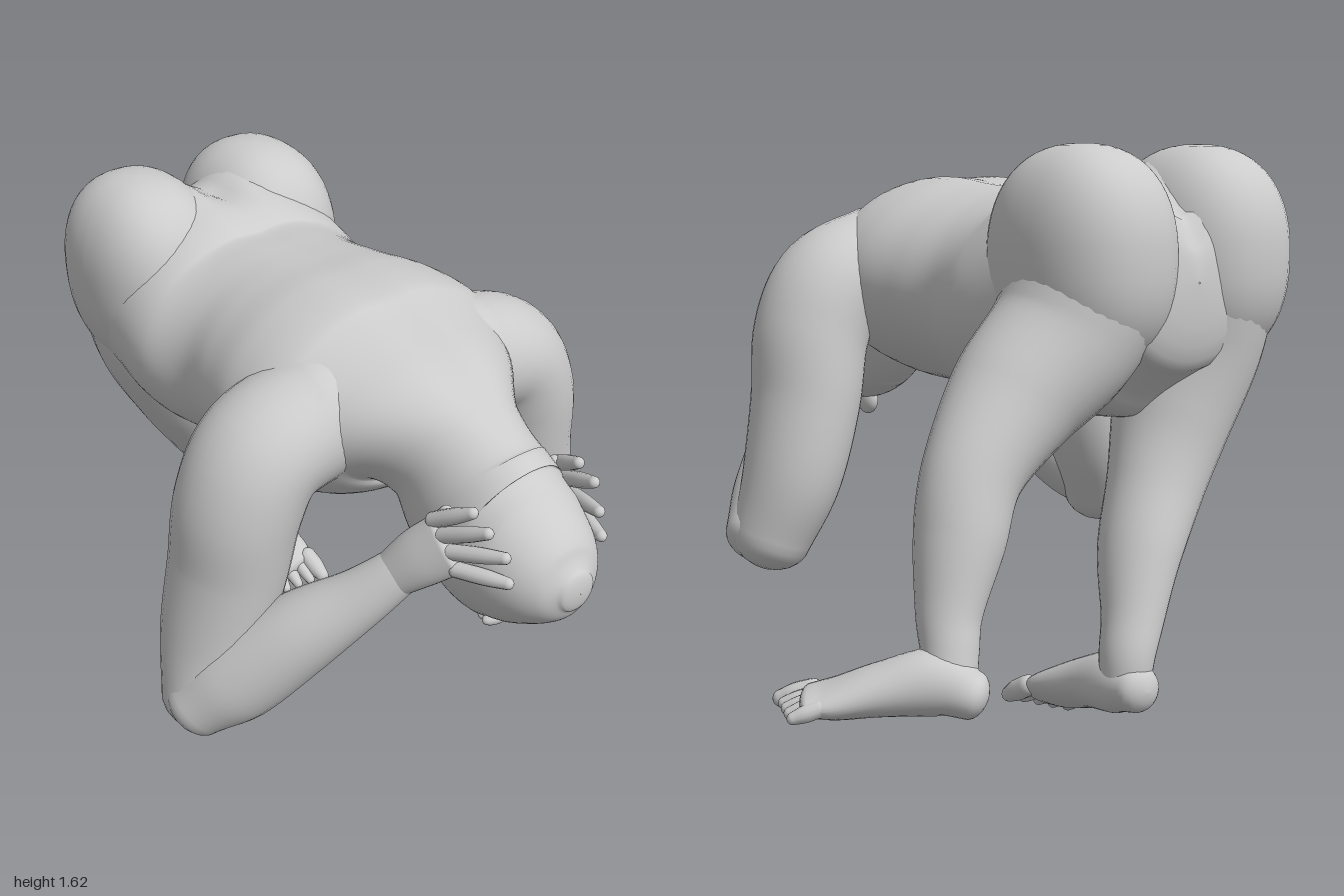
import * as THREE from 'three';

const MID = -0.17; // x of the body's mirror plane
const skin = new THREE.MeshStandardMaterial({ color: 0xcccccc, side: THREE.DoubleSide });
const V = (x, y, z) => new THREE.Vector3(x, y, z);
const spline = points => new THREE.CatmullRomCurve3(points, false, 'catmullrom', 0.5);

// Smooth skin over elliptical stations [x, y, z, halfWidth, halfHeight]; width follows ref
function loft(name, stations, ref, cap = 0.7, steps = 6, sides = 32) {
  const path = spline(stations.map(s => V(s[0], s[1], s[2])));
  const sizes = spline(stations.map(s => V(s[3], s[4], 0)));
  const n = (stations.length - 1) * steps, rings = [];
  const ring = (u, push, scale) => {
    const t = path.getTangent(u), r = sizes.getPoint(u);
    const c = path.getPoint(u).addScaledVector(t, push * Math.min(r.x, r.y) * cap);
    rings.push({ c, t, rx: r.x * scale, ry: r.y * scale });
  };
  // Rounded ends
  const CAP = 6;
  for (let k = 0; k < CAP; k++) {
    const a = (k / CAP) * Math.PI / 2;
    ring(0, -Math.cos(a), Math.max(Math.sin(a), 0.01));
  }
  for (let i = 0; i <= n; i++) ring(i / n, 0, 1);
  for (let k = CAP - 1; k >= 0; k--) {
    const a = (k / CAP) * Math.PI / 2;
    ring(1, Math.cos(a), Math.max(Math.sin(a), 0.01));
  }
  const pos = [], index = [];
  rings.forEach(({ c, t, rx, ry }, i) => {
    const side = ref.clone().addScaledVector(t, -ref.dot(t)).normalize();
    const up = t.clone().cross(side);
    for (let j = 0; j < sides; j++) {
      const a = (j / sides) * Math.PI * 2;
      const p = c.clone().addScaledVector(side, rx * Math.cos(a)).addScaledVector(up, ry * Math.sin(a));
      pos.push(p.x, p.y, p.z);
      if (i === rings.length - 1) continue;
      const A = i * sides + j, B = i * sides + (j + 1) % sides;
      index.push(A, B, A + sides, B, B + sides, A + sides);
    }
  });
  const geo = new THREE.BufferGeometry();
  geo.setAttribute('position', new THREE.Float32BufferAttribute(pos, 3));
  geo.setIndex(index);
  geo.computeVertexNormals();
  const mesh = new THREE.Mesh(geo, skin);
  mesh.name = name;
  return mesh;
}

// Ellipsoid; power below 1 makes it fuller and squarer
function blob(name, p, r, power = 1) {
  const geo = new THREE.SphereGeometry(1, 40, 28);
  const a = geo.attributes.position;
  const f = v => Math.sign(v) * Math.abs(v) ** power;
  for (let i = 0; i < a.count; i++) a.setXYZ(i, f(a.getX(i)) * r[0], f(a.getY(i)) * r[1], f(a.getZ(i)) * r[2]);
  geo.computeVertexNormals();
  const mesh = new THREE.Mesh(geo, skin);
  mesh.position.set(...p);
  mesh.name = name;
  return mesh;
}

// Finger or toe tapering between two points
function digit(name, a, b, r) {
  const m = a.clone().lerp(b, 0.55);
  return loft(name, [[...a, r, r], [...m, r, r], [...b, r * 0.75, r * 0.75]], V(0.3, 0.2, 1), 1, 4, 12);
}

// Head, neck and torso in one skin from crown to pelvis: z, y, half width, half height
function body() {
  const mesh = loft('headAndTorso', [
    [0.985, 0.99, 0.06, 0.06], [0.95, 0.99, 0.113, 0.115], [0.89, 0.995, 0.157, 0.163],
    [0.8, 1.005, 0.187, 0.217], [0.7, 1.025, 0.192, 0.26], [0.6, 1.09, 0.185, 0.26],
    [0.5, 1.18, 0.195, 0.215], [0.38, 1.24, 0.31, 0.215], [0.22, 1.235, 0.42, 0.29],
    [0.06, 1.22, 0.44, 0.315], [-0.1, 1.205, 0.41, 0.312], [-0.25, 1.19, 0.385, 0.315],
    [-0.42, 1.18, 0.42, 0.322], [-0.58, 1.21, 0.41, 0.35], [-0.74, 1.24, 0.38, 0.35],
    [-0.88, 1.25, 0.26, 0.24]].map(([z, y, w, h]) => [MID, y, z, w, h]), V(1, 0, 0), 0.3, 8, 64);
  // Groove along the spine, deepening between the buttocks
  const a = mesh.geometry.attributes.position, ease = THREE.MathUtils.smoothstep;
  for (let i = 0; i < a.count; i++) {
    const d = (a.getX(i) - MID) / 0.06, y = a.getY(i);
    const depth = 0.015 + 0.05 * ease(-a.getZ(i), 0.48, 0.65);
    a.setY(i, y - depth * ease(y, 1.3, 1.45) * Math.exp(-d * d));
  }
  mesh.geometry.computeVertexNormals();
  return mesh;
}

function face() {
  const g = new THREE.Group();
  g.name = 'face';
  g.add(blob('nose', [MID, 0.765, 0.665], [0.028, 0.05, 0.05]));
  g.add(blob('lips', [MID, 0.825, 0.58], [0.055, 0.025, 0.028]));
  g.add(blob('chin', [MID, 0.88, 0.53], [0.085, 0.06, 0.05]));
  for (const s of [-1, 1]) {
    g.add(blob('eye', [MID + s * 0.065, 0.795, 0.725], [0.03, 0.02, 0.018]));
    g.add(blob('brow', [MID + s * 0.065, 0.82, 0.775], [0.06, 0.025, 0.025]));
    g.add(blob('ear', [MID + s * 0.185, 0.98, 0.64], [0.02, 0.045, 0.06]));
  }
  return g;
}

// s = 1 is the left arm, s = -1 the right
function arm(s) {
  const g = new THREE.Group();
  g.name = s > 0 ? 'leftArm' : 'rightArm';
  const at = list => list.map(([x, ...rest]) => [MID + s * x, ...rest]);
  g.add(loft('upperArm', at([
    [0.24, 1.26, 0.22, 0.18, 0.18], [0.42, 1.2, 0.205, 0.19, 0.17], [0.5, 1.06, 0.195, 0.188, 0.17],
    [0.535, 0.86, 0.175, 0.182, 0.16], [0.59, 0.64, 0.165, 0.165, 0.145], [0.65, 0.455, 0.19, 0.13, 0.12]]),
  V(0, 0, 1), 0.85, 8));
  g.add(loft('forearm', at([
    [0.685, 0.455, 0.21, 0.1, 0.1], [0.59, 0.56, 0.28, 0.135, 0.125], [0.46, 0.72, 0.405, 0.118, 0.11],
    [0.35, 0.85, 0.52, 0.085, 0.072], [0.27, 0.95, 0.595, 0.066, 0.052]]), V(0, 1, -1), 0.7));
  g.add(loft('palm', at([
    [0.28, 0.94, 0.585, 0.064, 0.045], [0.245, 1.015, 0.65, 0.08, 0.042], [0.215, 1.08, 0.715, 0.085, 0.028]]),
  V(0, 1, -1), 0.7));
  // Fingers fan over the side of the head: base y, z then tip y, z
  [[1.03, 0.765, 1.045, 0.905], [1.07, 0.735, 1.115, 0.89], [1.105, 0.705, 1.175, 0.845], [1.135, 0.67, 1.205, 0.785]]
    .forEach(([y0, z0, y1, z1]) => g.add(digit('finger',
      V(MID + s * 0.215, y0, z0), V(MID + s * (z1 > 0.88 ? 0.165 : 0.185), y1, z1), 0.022)));
  g.add(digit('thumb', V(MID + s * 0.23, 1.05, 0.63), V(MID + s * 0.19, 1.16, 0.69), 0.024));
  return g;
}

// Leg and foot; big is the side of the big toe along the foot's width
function leg(name, legStations, footStations, width, big) {
  const g = new THREE.Group();
  g.name = name;
  g.add(loft('limb', legStations, V(0, 0, 1), 0.6, 8));
  g.add(loft('foot', footStations, width, 0.7));
  const end = footStations.at(-1), c = V(end[0], end[1], end[2]);
  const fwd = c.clone().sub(V(...footStations.at(-2).slice(0, 3))).normalize();
  const side = width.clone().addScaledVector(fwd, -width.dot(fwd)).normalize().multiplyScalar(big);
  for (let i = 0; i < 5; i++) {
    const k = 1 - i / 2;
    const base = c.clone().addScaledVector(side, k * end[3] * 0.82).addScaledVector(fwd, -0.008 * i);
    const tip = base.clone().addScaledVector(fwd, 0.08 - 0.004 * i).addScaledVector(side, k * 0.008);
    tip.y -= 0.015;
    g.add(digit(i ? 'toe' : 'bigToe', base, tip, i ? 0.022 : 0.031));
  }
  return g;
}

export function createModel() {
  const model = new THREE.Group();
  model.name = 'bentFigure';
  model.add(body(), face(), arm(1), arm(-1));
  for (const s of [-1, 1]) {
    model.add(blob('buttock', [MID + s * 0.207, 1.31, -0.715], [0.217, 0.308, 0.275], 0.86));
  }
  // Left leg steps out to the side
  model.add(leg('leftLeg', [
    [0.02, 1.28, -0.75, 0.23, 0.21], [0.11, 1.11, -0.735, 0.215, 0.2], [0.27, 0.96, -0.73, 0.18, 0.175],
    [0.425, 0.79, -0.765, 0.132, 0.135], [0.49, 0.62, -0.795, 0.12, 0.118], [0.545, 0.46, -0.83, 0.09, 0.086],
    [0.565, 0.37, -0.86, 0.075, 0.075], [0.58, 0.29, -0.88, 0.07, 0.07]],
  [[0.545, 0.265, -0.925, 0.068, 0.062], [0.61, 0.295, -0.87, 0.08, 0.085], [0.71, 0.275, -0.785, 0.088, 0.068],
    [0.8, 0.247, -0.705, 0.102, 0.048], [0.855, 0.24, -0.665, 0.096, 0.034]],
  V(0.6, 0, -0.8), -1));
  // Right leg slants in under the body, foot rolled outward
  model.add(leg('rightLeg', [
    [-0.36, 1.28, -0.75, 0.23, 0.21], [-0.345, 1.07, -0.735, 0.21, 0.195], [-0.27, 0.86, -0.745, 0.17, 0.165],
    [-0.19, 0.69, -0.775, 0.135, 0.138], [-0.1, 0.52, -0.815, 0.12, 0.112], [-0.035, 0.36, -0.865, 0.088, 0.085],
    [0, 0.27, -0.885, 0.078, 0.075], [0.01, 0.2, -0.89, 0.07, 0.07]],
  [[0.01, 0.185, -0.935, 0.07, 0.065], [0.01, 0.185, -0.86, 0.078, 0.085], [0, 0.15, -0.74, 0.088, 0.07],
    [0, 0.1, -0.62, 0.102, 0.052], [0, 0.075, -0.56, 0.095, 0.036]],
  V(0.9, 0.42, 0), 1));
  return model;
}
